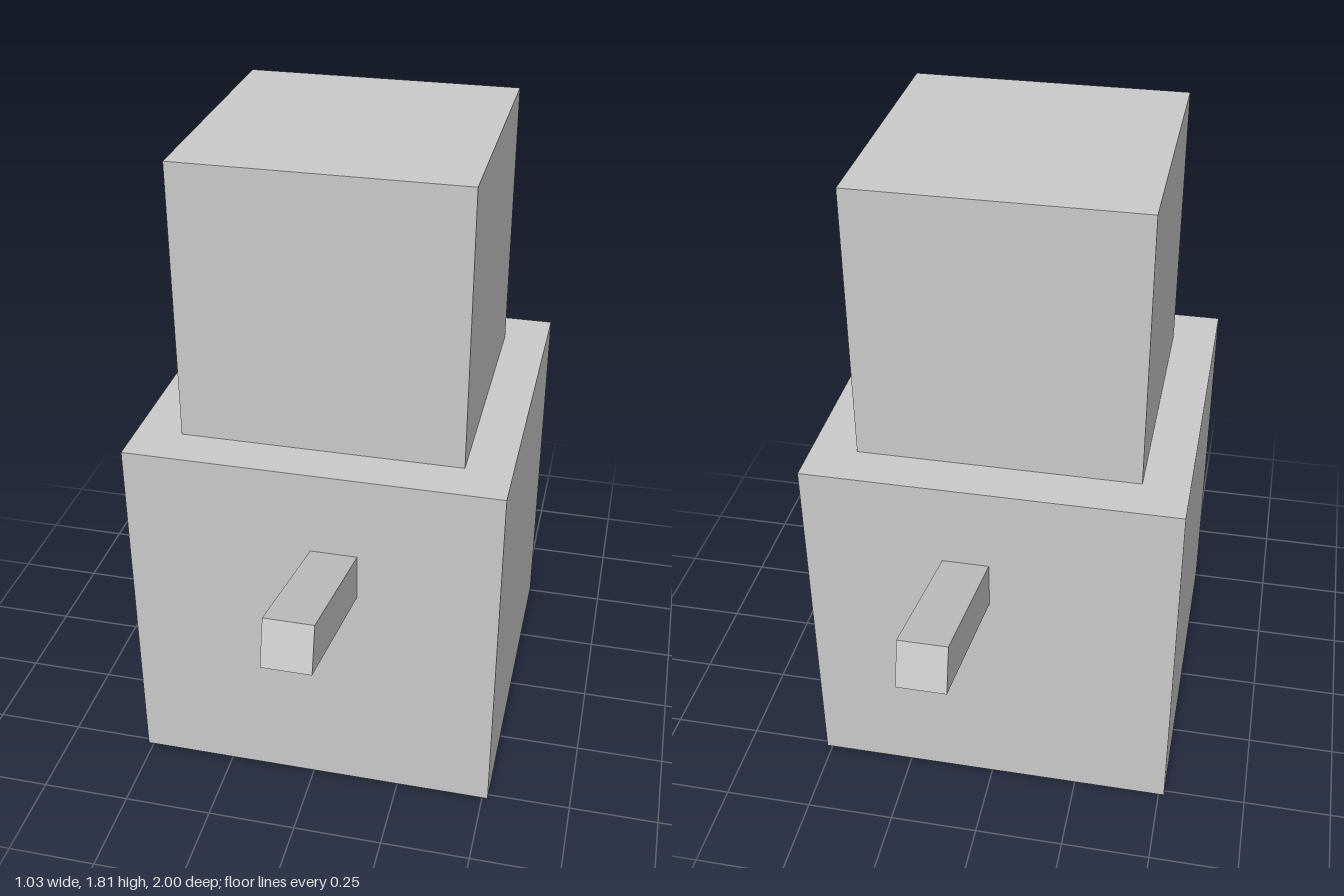
import * as THREE from 'three';

export function createModel() {
  const model = new THREE.Group();
  const material = new THREE.MeshStandardMaterial({ color: 0xcccccc, flatShading: true });
  const UNIT = 0.129;

  function addBox(name, w, h, d, x, y, z, parent = model) {
    const mesh = new THREE.Mesh(new THREE.BoxGeometry(w, h, d), material);
    mesh.name = name;
    mesh.position.set(x, y, z);
    parent.add(mesh);
    return mesh;
  }

  // Stacked cubes: the head rests on the body
  const body = 8 * UNIT;
  const head = 6 * UNIT + 0.004;
  addBox('body', body, body, body, 0, body / 2, 0);
  addBox('head', head, head, head, 0, body + head / 2, 0);

  // Stick arms slope up and out of the front and back faces
  const length = 0.65;
  const tilt = THREE.MathUtils.degToRad(15);
  for (const [name, side] of [['frontArm', 1], ['backArm', -1]]) {
    const y = 0.852 - (length / 2) * Math.sin(tilt);
    const z = side * (0.983 - (length / 2) * Math.cos(tilt));
    const arm = addBox(name, UNIT, UNIT, length, UNIT / 2, y, z);
    arm.rotation.x = -side * tilt;
  }

  return model;
}
